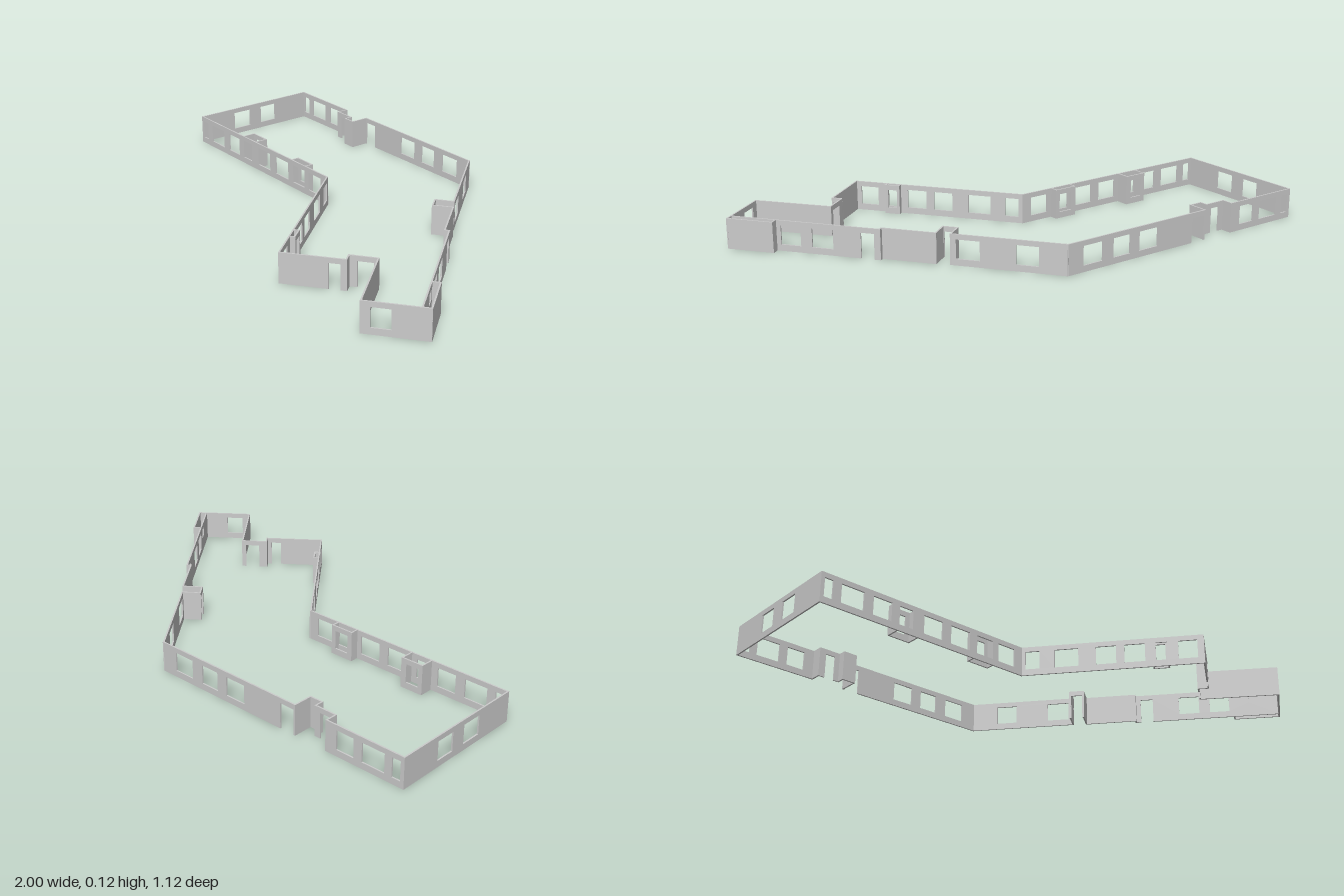
import * as THREE from 'three';

const HEIGHT = 0.12, THICK = 0.006;
const SILL = 0.025, HEAD = 0.1;
const material = new THREE.MeshStandardMaterial({ color: 0xcccccc, flatShading: true });

// Straight wall from a to b ([x, z]). Openings are [from, to, sill] ranges measured
// along the chosen axis (0 = x, 1 = z); a sill of 0 makes a doorway.
function wall(name, a, b, openings = [], axis = 0) {
  const dx = b[0] - a[0], dz = b[1] - a[1], length = Math.hypot(dx, dz);
  const along = v => (v - a[axis]) / (b[axis] - a[axis]) * length;
  const spans = openings.map(([p, q, sill = SILL]) => {
    const [s, e] = [along(p), along(q)].sort((m, n) => m - n);
    return { s, e, sill };
  }).sort((m, n) => m.s - n.s);

  const end = THICK / 2;
  const shape = new THREE.Shape();
  shape.moveTo(-end, 0);
  for (const { s, e, sill } of spans) {
    if (sill === 0) {
      shape.lineTo(s, 0);
      shape.lineTo(s, HEAD);
      shape.lineTo(e, HEAD);
      shape.lineTo(e, 0);
    } else {
      shape.holes.push(new THREE.Path([[s, sill], [s, HEAD], [e, HEAD], [e, sill]]
        .map(p => new THREE.Vector2(...p))));
    }
  }
  shape.lineTo(length + end, 0);
  shape.lineTo(length + end, HEIGHT);
  shape.lineTo(-end, HEIGHT);
  shape.closePath();

  const geometry = new THREE.ExtrudeGeometry(shape, { depth: THICK, bevelEnabled: false });
  geometry.translate(0, 0, -THICK / 2);
  const mesh = new THREE.Mesh(geometry, material);
  mesh.name = name;
  mesh.position.set(a[0], 0, a[1]);
  mesh.rotation.y = -Math.atan2(dz, dx);
  return mesh;
}

// Three-sided box attached to a wall: side, back (with openings), side.
function niche(name, points, openings, axis = 0) {
  const group = new THREE.Group();
  group.name = name;
  for (let i = 0; i < 3; i++) {
    group.add(wall(i === 1 ? 'nicheBack' : 'nicheSide', points[i], points[i + 1], i === 1 ? openings : [], axis));
  }
  return group;
}

export function createModel() {
  const model = new THREE.Group();
  model.name = 'buildingWalls';
  const add = (...args) => model.add(wall(...args));

  // Straight wing: end wall and front wall
  add('endWall', [-0.997, -0.562], [-0.997, 0.003], [[-0.39, -0.31], [-0.25, -0.165]], 1);
  add('frontWall', [-0.997, 0.003], [-0.08, 0.003], [
    [-0.985, -0.95], [-0.915, -0.82], [-0.78, -0.7], [-0.665, -0.605],
    [-0.555, -0.47], [-0.43, -0.34], [-0.305, -0.225], [-0.2, -0.12]]);

  // Back wall with the stepped entrance recess
  add('backWall', [-0.997, -0.562], [-0.67, -0.562], [[-0.985, -0.95], [-0.92, -0.825], [-0.79, -0.715]]);
  add('recessSide', [-0.67, -0.562], [-0.67, -0.517]);
  add('recessBack', [-0.67, -0.517], [-0.58, -0.517], [[-0.645, -0.603, 0]]);
  add('recessStep', [-0.58, -0.517], [-0.58, -0.485]);
  add('recessBack', [-0.58, -0.485], [-0.527, -0.485]);
  add('recessSide', [-0.527, -0.485], [-0.527, -0.562]);
  add('backWall', [-0.527, -0.562], [0.138, -0.562],
    [[-0.522, -0.46, 0], [-0.285, -0.195], [-0.15, -0.07], [-0.02, 0.07]]);

  // Angled wing, outer side with entrance notch
  add('outerWall', [0.138, -0.562], [0.41, -0.225], [[-0.48, -0.415], [-0.31, -0.24]], 1);
  add('notchSide', [0.41, -0.225], [0.352, -0.182]);
  add('notchBack', [0.352, -0.182], [0.387, -0.138], [[-0.178, -0.142, 0]], 1);
  add('notchSide', [0.387, -0.138], [0.449, -0.185]);
  add('outerWall', [0.449, -0.185], [0.58, -0.022]);
  add('outerStep', [0.58, -0.022], [0.593, -0.032]);
  add('outerWall', [0.593, -0.032], [0.967, 0.428],
    [[-0.015, 0.025, 0], [0.11, 0.175], [0.21, 0.272], [0.3, 0.335, 0.06]], 1);
  model.add(niche('outerBay', [[0.855, 0.286], [0.877, 0.269], [0.992, 0.41], [0.967, 0.428]], []));

  // Angled wing, end and inner return with doorways
  add('wingEnd', [0.992, 0.41], [0.81, 0.552], [[0.835, 0.89]]);
  add('returnWall', [0.81, 0.552], [0.61, 0.312]);
  add('returnDoorWall', [0.61, 0.312], [0.527, 0.375], [[0.552, 0.598, 0]]);
  add('returnStep', [0.527, 0.375], [0.551, 0.405]);
  add('wingDoorWall', [0.551, 0.405], [0.362, 0.552], [[0.502, 0.535, 0]]);

  // Angled wing, inner side
  add('innerWall', [0.362, 0.552], [-0.08, 0.003], [
    [-0.07, -0.035], [0.002, 0.06], [0.103, 0.152], [0.172, 0.222], [0.248, 0.274], [0.302, 0.348]]);

  // Window niches set inside the walls
  model.add(niche('frontNiche', [[-0.67, 0.003], [-0.67, 0.003 - 0.055], [-0.58, -0.052], [-0.58, 0.003]], [[-0.655, -0.6]]));
  model.add(niche('frontNiche', [[-0.318, 0.003], [-0.318, -0.03], [-0.225, -0.03], [-0.225, 0.003]], [[-0.3, -0.24]]));
  model.add(niche('innerNiche', [[0.242, 0.403], [0.258, 0.39], [0.293, 0.435], [0.278, 0.448]], [[0.263, 0.286]]));

  return model;
}
